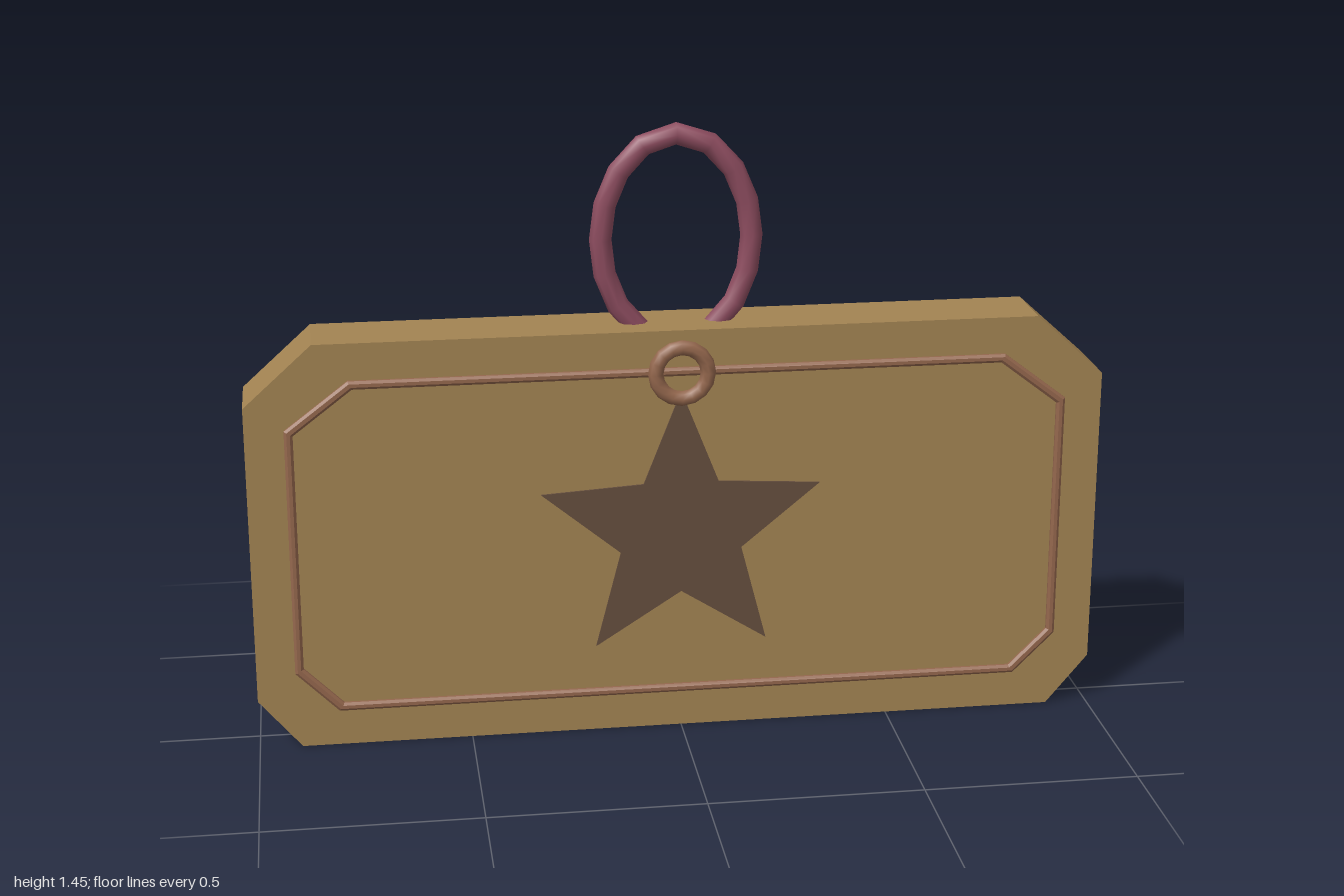
import * as THREE from 'three';

// Octagon outline: half width, bottom, top, lower and upper corner cuts [x, y]
function plaque(P, w, y0, y1, [lx, ly], [ux, uy]) {
  const pts = [
    [-w + lx, y0], [w - lx, y0], [w, y0 + ly], [w, y1 - uy],
    [w - ux, y1], [-w + ux, y1], [-w, y1 - uy], [-w, y0 + ly],
  ];
  return new P(pts.map(([x, y]) => new THREE.Vector2(x, y)));
}

export function createModel() {
  const group = new THREE.Group();
  const material = (name, color) => {
    const m = new THREE.MeshStandardMaterial({ color });
    m.name = name;
    return m;
  };
  const wood = material('tan wood', 0xa28352);
  const copper = material('copper trim', 0x94674d);
  const dark = material('dark brown', 0x654e3e);
  const rope = material('plum cord', 0x8e4d60);
  const add = (name, geometry, mat, x = 0, y = 0, z = 0) => {
    const mesh = new THREE.Mesh(geometry, mat);
    mesh.name = name;
    mesh.position.set(x, y, z);
    group.add(mesh);
    return mesh;
  };

  // Thick board with cut corners
  const board = plaque(THREE.Shape, 1, 0, 0.985, [0.1, 0.12], [0.16, 0.145]);
  add('board', new THREE.ExtrudeGeometry(board, { depth: 0.17, bevelEnabled: false }), wood, 0, 0, -0.1);

  // Thin raised frame following the board edge
  const frame = plaque(THREE.Shape, 0.904, 0.096, 0.893, [0.096, 0.096], [0.144, 0.11]);
  frame.holes.push(plaque(THREE.Path, 0.896, 0.104, 0.885, [0.094, 0.094], [0.141, 0.108]));
  add('frameTrim', new THREE.ExtrudeGeometry(frame, {
    depth: 0.006, bevelEnabled: true, bevelThickness: 0.005, bevelSize: 0.006, bevelSegments: 1,
  }), copper, 0, 0, 0.074);

  // Five-pointed star plate
  const star = new THREE.Shape(Array.from({ length: 10 }, (_, i) => {
    const a = Math.PI / 2 + i * Math.PI / 5, r = i % 2 ? 0.15 : 0.345;
    return new THREE.Vector2(Math.cos(a) * r, Math.sin(a) * r);
  }));
  add('star', new THREE.ExtrudeGeometry(star, { depth: 0.005, bevelEnabled: false }), dark, 0, 0.495, 0.069);

  // Small ring above the star
  add('ring', new THREE.TorusGeometry(0.061, 0.018, 8, 16), copper, 0, 0.887, 0.085);

  // Oval hanging cord, its ends sunk into the board
  const loop = new THREE.CatmullRomCurve3(Array.from({ length: 13 }, (_, i) => {
    const a = THREE.MathUtils.degToRad(-62 + i * 304 / 12);
    return new THREE.Vector3(Math.cos(a + 0) * 0.175, 1.18 + Math.sin(a) * 0.245, 0);
  }));
  add('hangingLoop', new THREE.TubeGeometry(loop, 14, 0.026, 8), rope, 0, 0, -0.015);

  return group;
}
